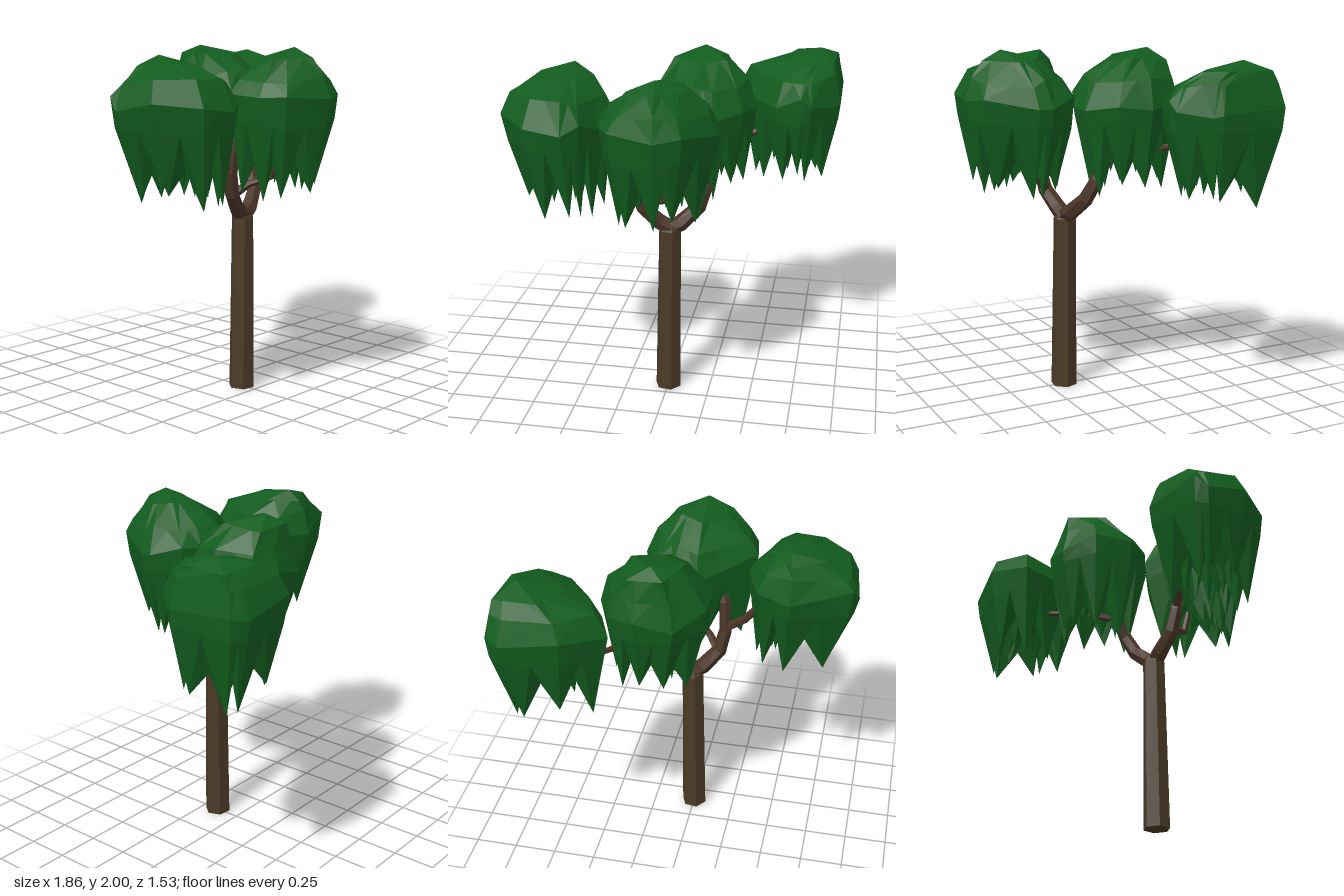
import * as THREE from 'three';

const V = (x, y, z) => new THREE.Vector3(x, y, z);
const material = (color) => new THREE.MeshStandardMaterial({ color, flatShading: true, side: THREE.DoubleSide });
const bark = material(0x4a3a26);
const branchBark = material(0x4a3528);
const leaf = material(0x135c1f);

// Small seeded random in -amount..amount
let seed = 7;
const jitter = (amount) => {
  seed = (seed * 16807) % 2147483647;
  return ((seed / 2147483647) * 2 - 1) * amount;
};

// Joins equal-length rings (clockwise from above, top ring first) into a faceted skin
function skin(rings) {
  const out = [];
  const tri = (a, b, c) => {
    if (a.equals(b) || b.equals(c) || a.equals(c)) return;
    for (const p of [a, b, c]) out.push(p.x, p.y, p.z);
  };
  for (let r = 0; r < rings.length - 1; r++) {
    const t = rings[r], b = rings[r + 1], n = t.length;
    for (let i = 0; i < n; i++) {
      const j = (i + 1) % n;
      if (i % 2) {
        tri(t[i], t[j], b[j]);
        tri(t[i], b[j], b[i]);
      } else {
        tri(t[i], t[j], b[i]);
        tri(t[j], b[j], b[i]);
      }
    }
  }
  const geometry = new THREE.BufferGeometry();
  geometry.setAttribute('position', new THREE.Float32BufferAttribute(out, 3));
  geometry.computeVertexNormals();
  return geometry;
}

function addMesh(group, name, geometry, mat) {
  const mesh = new THREE.Mesh(geometry, mat);
  mesh.name = name;
  group.add(mesh);
}

// Tapered six-sided limb through [x, y, z, radius] points
function limb(path) {
  const pts = path.map(([x, y, z]) => V(x, y, z));
  const rings = pts.map((p, k) => {
    const before = pts[Math.max(k - 1, 0)], after = pts[Math.min(k + 1, pts.length - 1)];
    const turn = new THREE.Quaternion().setFromUnitVectors(V(0, 1, 0), after.clone().sub(before).normalize());
    return Array.from({ length: 6 }, (_, i) => {
      const a = (i / 6) * Math.PI * 2 + 0.15;
      return V(Math.cos(a), 0, Math.sin(a)).multiplyScalar(path[k][3]).applyQuaternion(turn).add(p);
    });
  });
  rings.unshift(Array(6).fill(pts[0]));
  rings.push(Array(6).fill(pts[pts.length - 1]));
  return skin(rings.reverse());
}

// Leaf clump: faceted dome over a footprint, tapering to a hem of hanging leaf tips around a shallow underside
function clump({ centre: [cx, cz], top: [tx, ty, tz], crown, hem: [hx, hz], outline }) {
  const n = outline.length;
  // Ring of footprint corners and midpoints, moved towards (mx, mz) by a share of the way
  const ring = (scale, y, [mx, mz], share, wobble, lift, coarse = false) => {
    const ox = cx + (mx - cx) * share, oz = cz + (mz - cz) * share;
    const corners = outline.map(([x, z]) => {
      const s = scale * (1 + jitter(wobble));
      return V(ox + (x - cx) * s, y + jitter(lift), oz + (z - cz) * s);
    });
    // A coarse ring keeps every other corner, for larger facets
    if (coarse) for (let i = 1; i < n; i += 2) corners[i].lerpVectors(corners[i - 1], corners[(i + 1) % n], 0.5);
    return corners.flatMap((p, i) => [p, p.clone().lerp(corners[(i + 1) % n], 0.5)]);
  };
  // Pulls corners down into leaf tips and midpoints into the grooves between them
  const teeth = (points, drop) => points.map((p, i) => {
    if (i % 2) return p.clone().lerp(V(hx, p.y, hz), 0.1).add(V(0, jitter(0.04), 0));
    return p.clone().add(V(0, jitter(0.06) - drop, 0));
  });
  const point = (p) => Array(2 * n).fill(p);
  const apex = [tx, tz], low = [hx, hz];
  return skin([
    point(V(tx, ty, tz)),
    ring(crown, ty - 0.055, apex, 0.5, 0.03, 0.012, true),
    ring(0.83, 1.83, apex, 0.1, 0.03, 0.025),
    ring(1, 1.71, low, 0, 0, 0.045),
    ring(0.94, 1.59, low, 0.2, 0.03, 0.03),
    teeth(ring(0.66, 1.4, low, 1, 0.07, 0.02), 0.19),
    ring(0.5, 1.45, low, 1, 0.05, 0.02),
    teeth(ring(0.38, 1.42, low, 1, 0.05, 0.02), 0.16),
    ring(0.2, 1.47, low, 1, 0.05, 0.02),
    point(V(hx, 1.48, hz)),
  ]);
}

const clumps = {
  leftmostLeaves: {
    centre: [0.66, -0.45], top: [0.8, 1.96, -0.53], crown: 0.6, hem: [0.67, -0.45],
    outline: [[0.52, -0.76], [0.85, -0.77], [0.93, -0.72], [0.93, -0.33], [0.9, -0.29], [0.77, -0.14],
      [0.71, -0.13], [0.57, -0.17], [0.4, -0.37], [0.31, -0.58]],
  },
  backLeaves: {
    centre: [0.16, -0.16], top: [0.14, 2, -0.32], crown: 0.55, hem: [0.18, -0.16],
    outline: [[0, -0.44], [0.21, -0.46], [0.36, -0.4], [0.46, -0.18], [0.4, 0], [0.25, 0.13],
      [0.12, 0.14], [-0.02, 0.08], [-0.15, -0.05], [-0.15, -0.28]],
  },
  frontLeaves: {
    centre: [0, 0.43], top: [0, 2, 0.53], crown: 0.5, hem: [-0.01, 0.42],
    outline: [[-0.02, 0.08], [0.13, 0.14], [0.24, 0.2], [0.33, 0.36], [0.32, 0.44], [0.17, 0.7],
      [0.03, 0.76], [-0.23, 0.67], [-0.3, 0.54], [-0.33, 0.35]],
  },
  rightmostLeaves: {
    centre: [-0.62, 0.22], top: [-0.55, 1.96, 0.04], crown: 0.5, hem: [-0.57, 0.24],
    outline: [[-0.57, -0.1], [-0.38, -0.01], [-0.3, 0.19], [-0.36, 0.37], [-0.42, 0.5], [-0.51, 0.56],
      [-0.72, 0.54], [-0.9, 0.35], [-0.93, 0.11], [-0.9, 0.04]],
  },
};

const branches = {
  leftFork: [[-0.01, 1.02, 0.15, 0.05], [0.07, 1.06, 0.14, 0.048], [0.17, 1.15, 0.09, 0.043], [0.205, 1.26, 0.04, 0.038],
    [0.2, 1.42, -0.05, 0.033], [0.17, 1.65, -0.14, 0.025]],
  rightFork: [[0.03, 1.02, 0.15, 0.05], [-0.05, 1.07, 0.16, 0.048], [-0.14, 1.17, 0.2, 0.043], [-0.17, 1.3, 0.22, 0.038],
    [-0.16, 1.48, 0.24, 0.033], [-0.08, 1.65, 0.33, 0.025]],
  leftmostTwig: [[0.2, 1.38, -0.04, 0.025], [0.31, 1.44, -0.24, 0.02], [0.42, 1.46, -0.38, 0.018], [0.62, 1.62, -0.45, 0.015]],
  rightmostTwig: [[-0.17, 1.32, 0.22, 0.028], [-0.28, 1.4, 0.2, 0.025], [-0.35, 1.49, 0.18, 0.022], [-0.58, 1.64, 0.21, 0.015]],
  frontTwig: [[-0.13, 1.17, 0.2, 0.028], [-0.07, 1.23, 0.26, 0.023], [0.02, 1.27, 0.35, 0.02], [0.04, 1.6, 0.43, 0.015]],
};

export function createModel() {
  const tree = new THREE.Group();
  tree.name = 'tree';
  addMesh(tree, 'trunk', limb([[0, 0, 0.15, 0.077], [0.01, 1.02, 0.145, 0.066], [0.01, 1.05, 0.145, 0.05]]), bark);
  for (const [name, path] of Object.entries(branches)) addMesh(tree, name, limb(path), branchBark);
  for (const [name, spec] of Object.entries(clumps)) addMesh(tree, name, clump(spec), leaf);
  return tree;
}
